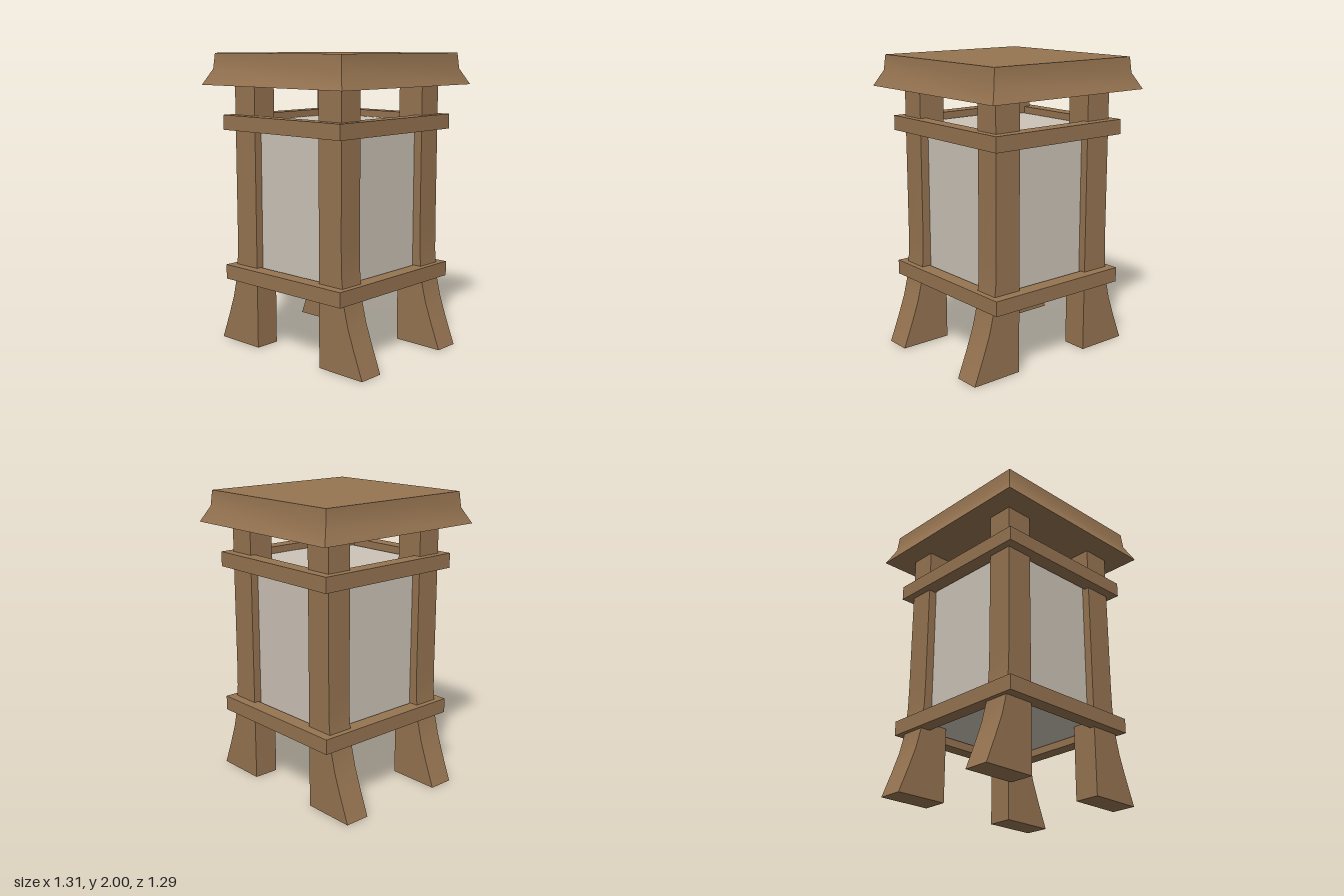
import * as THREE from 'three';
import { toCreasedNormals } from 'three/addons/utils/BufferGeometryUtils.js';

const wood = new THREE.MeshStandardMaterial({ color: 0x967451 });
wood.name = 'brown wood';
const paper = new THREE.MeshStandardMaterial({ color: 0xcdc4b8 });
paper.name = 'pale paper';

function part(name, geometry, material) {
  const mesh = new THREE.Mesh(geometry, material);
  mesh.name = name;
  return mesh;
}

// Post with a straight inner side and a foot that flares outwards
function postGeometry() {
  const shape = new THREE.Shape();
  const outline = [
    [0.29, 0], [0.655, 0], [0.585, 0.18], [0.535, 0.32], [0.5, 0.46],
    [0.483, 0.64], [0.48, 0.8], [0.48, 1.8], [0.29, 1.8],
  ];
  shape.setFromPoints(outline.map(([x, y]) => new THREE.Vector2(x, y)));
  const geo = new THREE.ExtrudeGeometry(shape, { depth: 0.175, bevelEnabled: false });
  geo.translate(0, 0, -0.0875);
  return toCreasedNormals(geo, 0.6);
}

// Rectangular ring lying flat, from y = 0 upwards
function railGeometry(outerX, outerZ, innerX, innerZ, height) {
  const corners = (x, z) => [[-x, -z], [x, -z], [x, z], [-x, z]].map(([a, b]) => new THREE.Vector2(a, b));
  const shape = new THREE.Shape(corners(outerX, outerZ));
  shape.holes.push(new THREE.Path(corners(innerX, innerZ).reverse()));
  const geo = new THREE.ExtrudeGeometry(shape, { depth: height, bevelEnabled: false });
  geo.rotateX(-Math.PI / 2);
  return geo;
}

// Four-sided roof swept from a curved eaves profile
function roofGeometry() {
  const profile = [[0, 1.79], [0.645, 1.79], [0.59, 1.895], [0.58, 2], [0, 2]];
  const geo = new THREE.LatheGeometry(
    profile.map(([r, y]) => new THREE.Vector2(r * Math.SQRT2, y)), 4);
  geo.rotateY(Math.PI / 4);
  geo.scale(0.976, 1, 1);
  return toCreasedNormals(geo, 0.6);
}

export function createModel() {
  const model = new THREE.Group();
  model.name = 'lantern';

  // Four corner posts
  const post = postGeometry();
  for (const side of [1, -1]) {
    for (const z of [0.3975, -0.3975]) {
      const mesh = part('post', post, wood);
      mesh.rotation.y = side > 0 ? 0 : Math.PI;
      mesh.position.z = z;
      model.add(mesh);
    }
  }

  // Lower and upper rails around the posts
  const rail = railGeometry(0.53, 0.55, 0.43, 0.45, 0.1);
  for (const [name, y] of [['lowerRail', 0.46], ['upperRail', 1.49]]) {
    const mesh = part(name, rail, wood);
    mesh.position.y = y;
    model.add(mesh);
  }

  // Paper shade between the posts
  const shade = part('paperShade', new THREE.BoxGeometry(0.84, 1.04, 0.86), paper);
  shade.position.y = 1.025;
  model.add(shade);

  model.add(part('roof', roofGeometry(), wood));
  return model;
}
